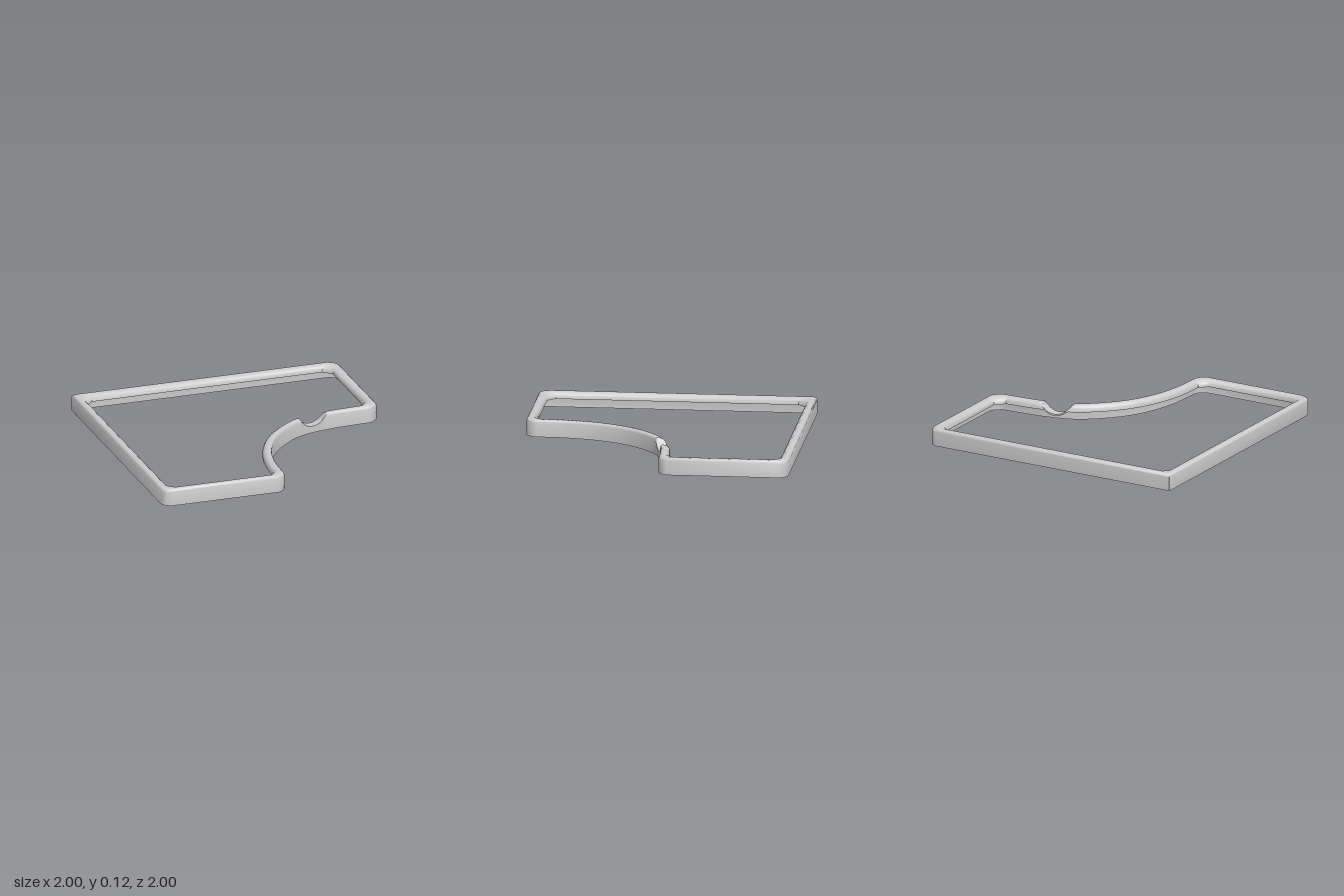
import * as THREE from 'three';
import { toCreasedNormals } from 'three/addons/utils/BufferGeometryUtils.js';

const TOP = 0.125;

// Rim cross-section: t runs from outer skirt (0) to inner lip (1), y is height
const PROFILE = [
  [0, 0], [0, 0.105], [0.06, 0.117], [0.2, TOP], [0.42, TOP],
  [0.65, 0.123], [0.85, 0.113], [0.97, 0.099], [1, 0.09], [1, 0.075],
];

// Height limit of the round notch in the curved side
function notchHeight(x, z) {
  const dx = x - 0.485, r = 0.111;
  if (z < -0.25 || z > 0.15 || Math.abs(dx) > 0.105) return TOP;
  return Math.min(TOP, 0.161 - Math.sqrt(r * r - dx * dx));
}

// Plan of the rim: matching [outerX, outerZ, innerX, innerZ] stations
function planStations() {
  const s = [
    [-0.998, -1, -0.87, -0.93],
    [0.94, -1, 0.87, -0.93],
    [0.985, -0.975, 0.9, -0.9],
    [1, -0.94, 0.93, -0.87],
    [1, -0.13, 0.93, -0.2],
    [0.98, -0.1, 0.9, -0.17],
  ];
  // Concave side: sampled curve, offset inwards for the lip
  const curve = new THREE.CatmullRomCurve3([
    [0.94, -0.07], [0.8, -0.063], [0.6, -0.045], [0.39, 0.01], [0.24, 0.115],
    [0.1, 0.27], [0, 0.47], [-0.05, 0.68], [-0.065, 0.93],
  ].map(([x, z]) => new THREE.Vector3(x, 0, z)));
  const n = 90;
  for (let i = 0; i <= n; i++) {
    const p = curve.getPointAt(i / n), d = curve.getTangentAt(i / n);
    // Ends of the lip stop short of the corner chamfers
    const ix = Math.min(p.x + d.z * -0.067, 0.87);
    const iz = Math.min(p.z + d.x * 0.067, 0.87);
    s.push([p.x, p.z, ix, iz]);
  }
  s.push(
    [-0.085, 0.97, -0.16, 0.9],
    [-0.13, 0.995, -0.19, 0.927],
    [-0.935, 0.995, -0.87, 0.927],
    [-0.98, 0.975, -0.9, 0.9],
    [-1, 0.935, -0.93, 0.87],
    [-1, -0.998, -0.93, -0.87],
  );
  return s;
}

// Sweep the cross-section round the closed plan
function rimGeometry() {
  const stations = planStations(), m = PROFILE.length, n = stations.length;
  const pos = [], index = [];
  for (const [ox, oz, ix, iz] of stations) {
    PROFILE.forEach(([t, y], j) => {
      const x = ox + (ix - ox) * t, z = oz + (iz - oz) * t;
      const limit = notchHeight(x, z) - (j === m - 1 ? 0.012 : 0);
      pos.push(x, Math.min(y, limit), z);
    });
  }
  for (let i = 0; i < n; i++) {
    for (let j = 0; j < m - 1; j++) {
      const a = i * m + j, b = ((i + 1) % n) * m + j;
      index.push(a, a + 1, b, b, a + 1, b + 1);
    }
  }
  const g = new THREE.BufferGeometry();
  g.setAttribute('position', new THREE.Float32BufferAttribute(pos, 3));
  g.setIndex(index);
  return toCreasedNormals(g, 0.75);
}

export function createModel() {
  const group = new THREE.Group();
  group.name = 'rimFrame';
  const rim = new THREE.Mesh(
    rimGeometry(),
    new THREE.MeshStandardMaterial({ color: 0xcccccc, side: THREE.DoubleSide }),
  );
  rim.name = 'notchedRim';
  group.add(rim);
  return group;
}
